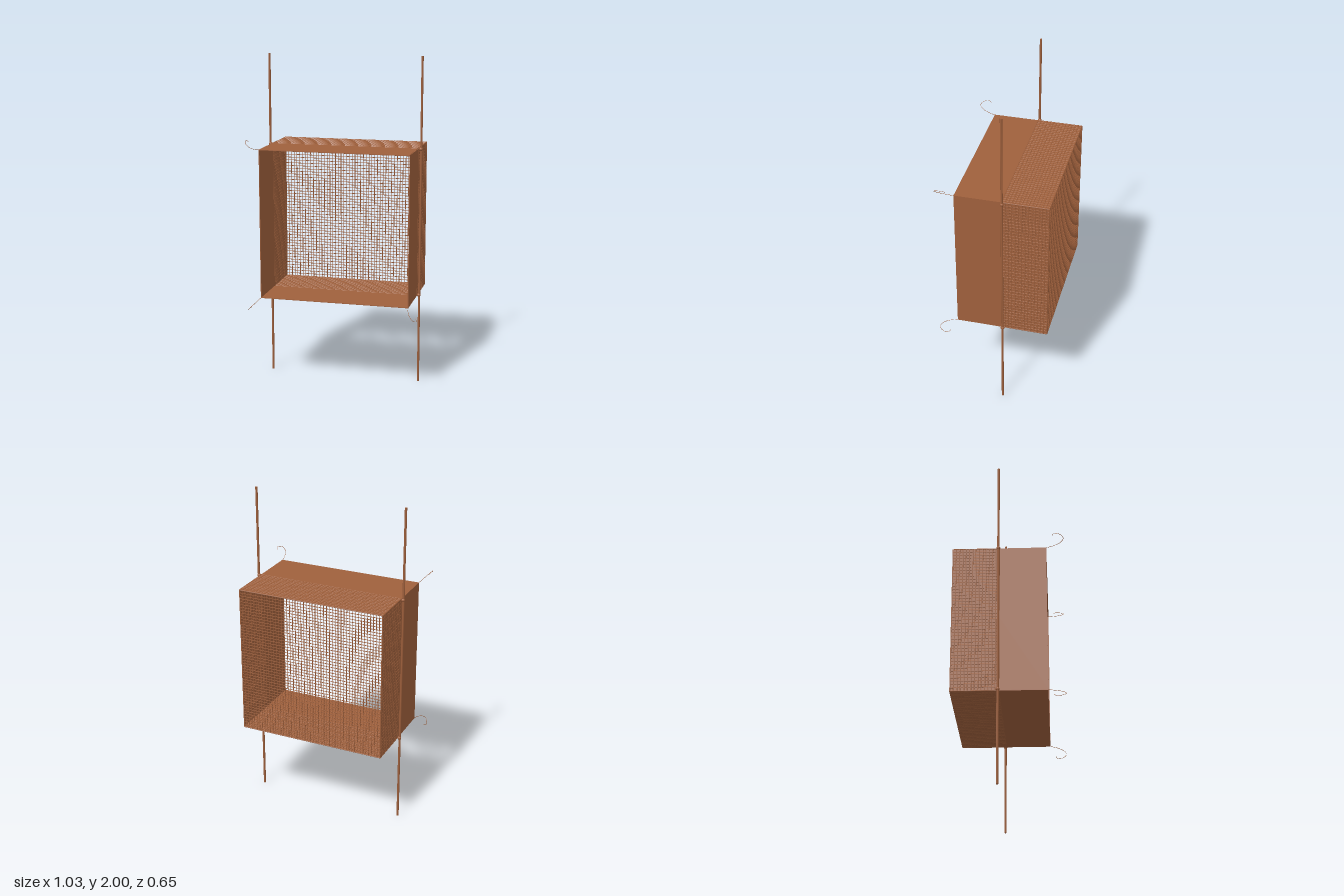
import * as THREE from 'three';
import { mergeGeometries } from 'three/addons/utils/BufferGeometryUtils.js';

const wood = new THREE.MeshStandardMaterial({ color: 0x9f603c });
wood.name = 'brown wood';

const HALF = 0.454;              // half width and half height of the box
const CY = 1.001;                // height of the box centre
const FRONT = 0.224, JOIN = -0.052, BACK = -0.324;
const WALL = 0.004;

// flat lattice of crossed six-sided wires in the XY plane, centred on the origin
function lattice(w, h, pitch, r) {
  const wires = [];
  const nx = Math.round(w / pitch), ny = Math.round(h / pitch);
  const rod = (length) => new THREE.CylinderGeometry(r, r, length, 6, 1);
  for (let i = 0; i <= nx; i++) wires.push(rod(h).translate(-w / 2 + (w * i) / nx, 0, 0));
  for (let j = 0; j <= ny; j++) {
    wires.push(rod(w).rotateZ(Math.PI / 2).translate(0, -h / 2 + (h * j) / ny, 0));
  }
  return mergeGeometries(wires);
}

export function createModel() {
  const model = new THREE.Group();
  model.name = 'meshCage';
  const add = (name, geometry, parent = model) => {
    const m = new THREE.Mesh(geometry, wood);
    m.name = name;
    parent.add(m);
    return m;
  };

  // four thin walls: a plain front half and a rear half threaded with wire
  const depth = JOIN - BACK;
  const mid = HALF - WALL / 2;
  ['topWall', 'leftWall', 'bottomWall', 'rightWall'].forEach((name, i) => {
    const wall = new THREE.Group();
    wall.name = name;
    wall.position.y = CY;
    wall.rotation.z = -i * Math.PI / 2;
    model.add(wall);
    const width = 2 * (i % 2 ? HALF - WALL : HALF);
    add('panel', new THREE.BoxGeometry(width, WALL, FRONT - BACK)
      .translate(0, mid, (FRONT + BACK) / 2), wall);
    add('wallMesh', lattice(2 * mid, depth, 0.02, 0.0038)
      .rotateX(Math.PI / 2).translate(0, mid, (JOIN + BACK) / 2), wall);
  });

  // see-through mesh closing the back
  add('backMesh', lattice(2 * mid, 2 * mid, 0.018, 0.002).translate(0, CY, BACK - 0.001));

  for (const s of [-1, 1]) {
    // upright poles beside the box
    const pole = add('pole', new THREE.CylinderGeometry(0.007, 0.007, 2, 6));
    pole.position.set(s * 0.468, 1, -0.057);

    for (const v of [-1, 1]) {
      // knots tying the box corners to the poles
      const knot = add('knot', new THREE.SphereGeometry(0.0115, 12, 8));
      knot.position.set(s * 0.466, CY + v * 0.449, -0.057);

      // thin curled hooks flaring out from the front corners
      const path = [[0, 0.22], [0.01, 0.272], [0.026, 0.313], [0.041, 0.324],
        [0.055, 0.308], [0.061, 0.282], [0.057, 0.262], [0.05, 0.258]];
      const curve = new THREE.CatmullRomCurve3(path.map(([d, z]) =>
        new THREE.Vector3(s * (HALF - 0.002 + d), CY + v * (HALF - 0.002 + d), z)));
      add('cornerHook', new THREE.TubeGeometry(curve, 32, 0.0012, 6));
    }
  }
  return model;
}
